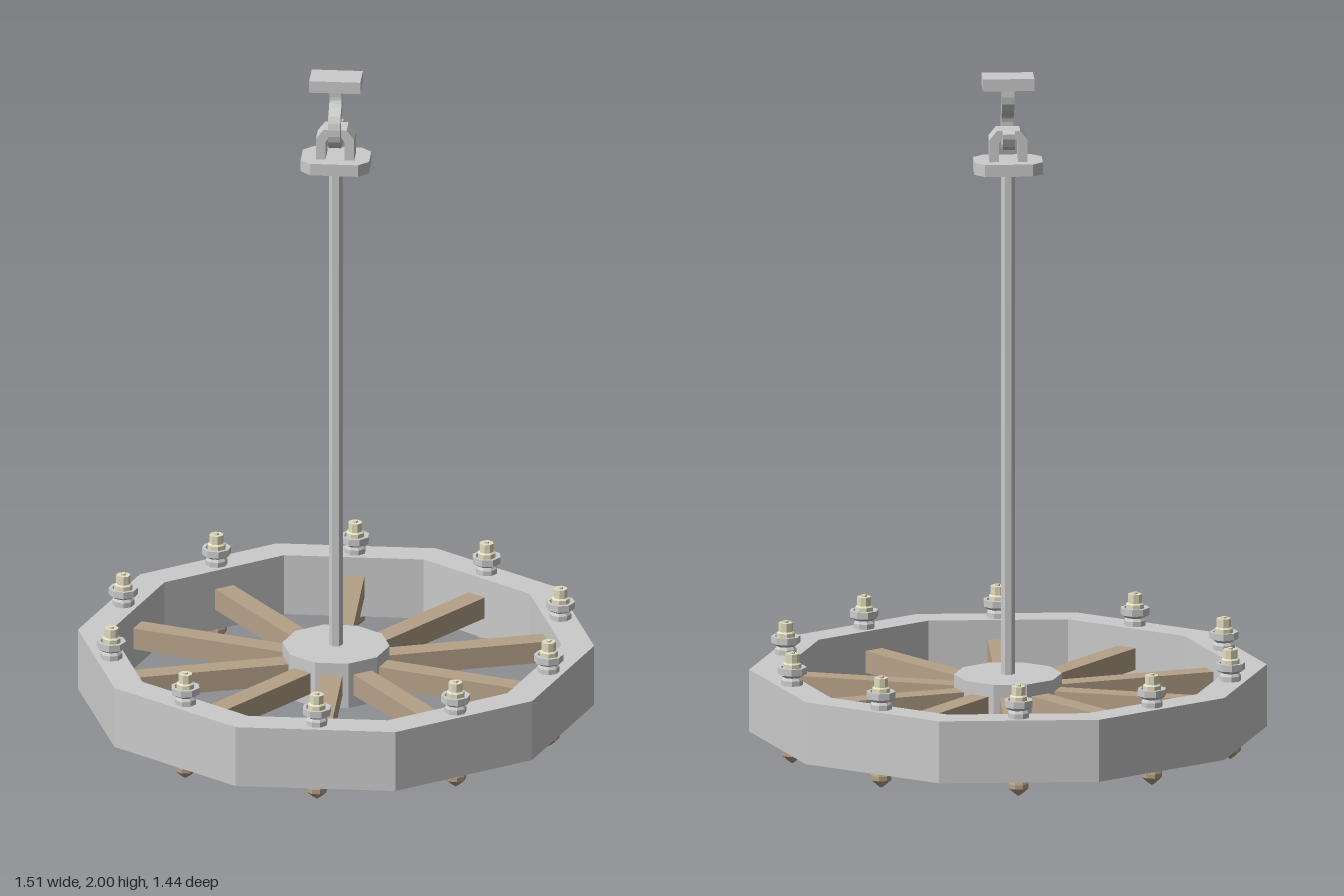
import * as THREE from 'three';

const mat = (color) => new THREE.MeshStandardMaterial({ color, flatShading: true });

export function createModel() {
  const iron = mat(0xcccccc);
  const wood = mat(0xb5a188);
  const wax = mat(0xe2ddc0);
  const brass = mat(0xb5a188);

  const model = new THREE.Group();
  model.name = 'wheelChandelier';

  const add = (name, geometry, material, parent = model, x = 0, y = 0, z = 0) => {
    const mesh = new THREE.Mesh(geometry, material);
    mesh.name = name;
    mesh.position.set(x, y, z);
    parent.add(mesh);
    return mesh;
  };
  const lathe = (points, sides, start = 0) =>
    new THREE.LatheGeometry(points.map(([r, y]) => new THREE.Vector2(r, y)), sides, start);
  const polygon = (points) => new THREE.Shape(points.map(([x, y]) => new THREE.Vector2(x, y)));

  // Ten-sided rim and hub, both with a corner on the x axis
  const SIDES = 10;
  add('rim', lathe([[0.66, 0.05], [0.755, 0.05], [0.755, 0.235], [0.66, 0.235], [0.66, 0.05]],
    SIDES, Math.PI / 2), iron);
  add('hub', new THREE.CylinderGeometry(0.157, 0.157, 0.14, SIDES, 1, false, Math.PI / 2),
    iron, model, 0, 0.145, 0);

  // One spoke and one candle at the middle of every rim side
  const spokeGeo = new THREE.BoxGeometry(0.062, 0.065, 0.53);
  const holderGeo = lathe([[0, 0.23], [0.032, 0.23], [0.032, 0.25], [0.026, 0.258], [0.043, 0.268],
    [0.043, 0.288], [0.033, 0.288], [0.03, 0.278], [0, 0.278]], 8, Math.PI / 8);
  const candleGeo = lathe([[0, 0.27], [0.027, 0.27], [0.027, 0.298], [0.021, 0.302], [0.021, 0.328],
    [0.008, 0.328], [0.008, 0.333], [0, 0.333]], 8, Math.PI / 8);
  const finialGeo = lathe([[0, 0], [0.012, 0.008], [0.031, 0.025], [0.031, 0.038], [0.024, 0.053], [0, 0.053]],
    8, Math.PI / 8);
  for (let i = 0; i < SIDES; i++) {
    const arm = new THREE.Group();
    arm.name = 'arm' + (i + 1);
    arm.rotation.y = (i / SIDES) * Math.PI * 2;
    add('spoke', spokeGeo, wood, arm, 0, 0.145, 0.365);
    add('candleHolder', holderGeo, iron, arm, 0, 0, 0.672);
    add('candle', candleGeo, wax, arm, 0, 0, 0.672);
    add('finial', finialGeo, brass, arm, 0, 0, 0.672);
    model.add(arm);
  }

  // Hanging rod
  add('rod', new THREE.CylinderGeometry(0.02, 0.02, 1.53, 6, 1, false, Math.PI / 2),
    iron, model, 0, 0.965, 0);

  // Plate with cut corners on top of the rod
  const plate = polygon([[-0.1, -0.04], [-0.07, -0.07], [0.07, -0.07], [0.1, -0.04],
    [0.1, 0.04], [0.07, 0.07], [-0.07, 0.07], [-0.1, 0.04]]);
  const plateGeo = new THREE.ExtrudeGeometry(plate, { depth: 0.036, bevelEnabled: false });
  plateGeo.rotateX(-Math.PI / 2);
  add('rodPlate', plateGeo, iron, model, 0, 1.714, 0);

  // Arched staple caught by the hook
  const staple = polygon([[-0.056, 1.745], [-0.028, 1.745], [-0.028, 1.805], [-0.018, 1.821],
    [0.018, 1.821], [0.028, 1.805], [0.028, 1.745], [0.056, 1.745],
    [0.056, 1.815], [0.034, 1.843], [-0.034, 1.843], [-0.056, 1.815]]);
  const stapleGeo = new THREE.ExtrudeGeometry(staple, { depth: 0.068, bevelEnabled: false });
  add('staple', stapleGeo, iron, model, 0, 0, -0.034);

  // S-shaped hook: a square bar swept along a curve in the yz plane
  const hookPath = new THREE.CatmullRomCurve3([[0, 1.97], [0, 1.925], [0.018, 1.9], [0.045, 1.883],
    [0.055, 1.85], [0.048, 1.82], [0.025, 1.803], [0, 1.8], [-0.028, 1.803], [-0.046, 1.816], [-0.05, 1.842]]
    .map(([z, y]) => new THREE.Vector3(0, y, z)));
  const w = 0.018;
  add('hook', new THREE.ExtrudeGeometry(polygon([[-w, -w], [w, -w], [w, w], [-w, w]]),
    { steps: 20, extrudePath: hookPath, bevelEnabled: false }), iron);

  // Ceiling plate
  add('ceilingPlate', new THREE.BoxGeometry(0.15, 0.036, 0.092), iron, model, 0, 1.982, 0);

  return model;
}
